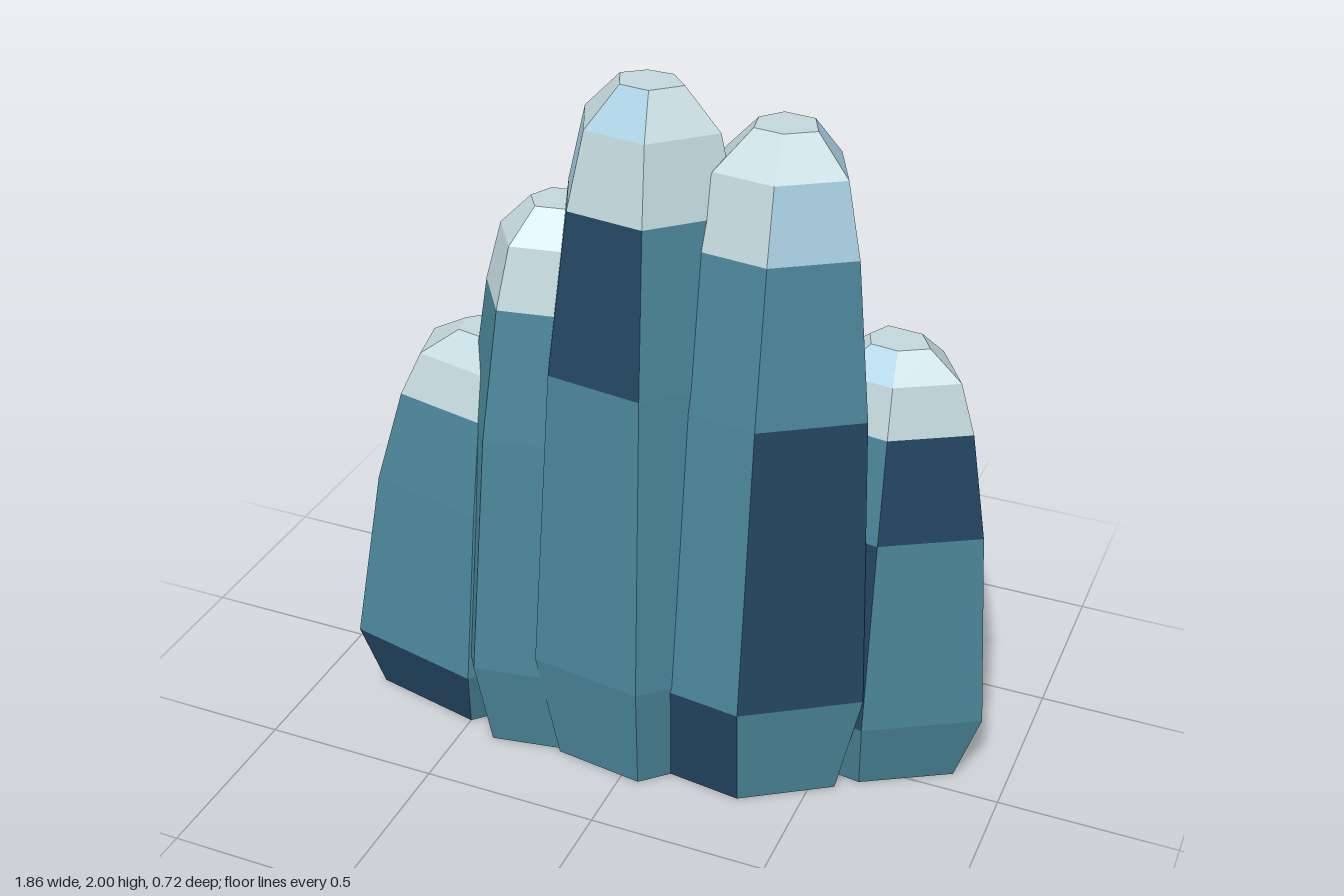
import * as THREE from 'three';

const mat = (name, color) => Object.assign(new THREE.MeshStandardMaterial({ color }), { name });

// Ring heights (fraction of the column) and ring scales, from base to tip
const HEIGHTS = [0, 0.17, 0.615, 0.842, 0.946, 1];
const SCALES = [0.8, 1, 0.84, 0.67, 0.53, 0.25];
const KEYS = 'tnsi'; // teal, navy, snow, ice

// Each side is [x, z, bands]: its corner on the widest ring, and the band
// colours from base to tip of the face running on to the next corner.
const PLAIN = 'tttss';
const COLUMNS = [
  {
    name: 'farLeftSideColumn', height: 1.17, centre: [-0.56, 0], lean: [0.07, -0.01],
    sides: [[-0.47, 0.30, 'nttss'], [-0.87, 0.21, 'nttss'], [-0.93, -0.06, PLAIN],
      [-0.72, -0.25, PLAIN], [-0.35, -0.235, PLAIN], [-0.22, 0.05, PLAIN]],
  },
  {
    name: 'innerColumn', height: 1.61, centre: [-0.29, 0.07], lean: [0.02, -0.04],
    sides: [[-0.43, 0.335, PLAIN], [-0.59, 0.1, 'ttnsi'], [-0.47, -0.15, PLAIN],
      [-0.22, -0.19, 'tntss'], [0, 0, PLAIN], [-0.1, 0.28, PLAIN]],
  },
  {
    name: 'tallestColumn', height: 2, centre: [0, 0.105], lean: [0.02, 0],
    sides: [[0.07, 0.355, 'ttnsi'], [-0.25, 0.31, 'tttis'], [-0.37, 0.03, PLAIN],
      [-0.15, -0.14, PLAIN], [0.13, -0.13, PLAIN], [0.34, 0.1, PLAIN]],
  },
  {
    name: 'secondTallestColumn', height: 1.905, centre: [0.31, 0.045], lean: [0.03, -0.04],
    sides: [[0.345, 0.31, 'nttss'], [0.03, 0.27, PLAIN], [-0.02, 0, PLAIN],
      [0.165, -0.22, PLAIN], [0.5, -0.18, 'ttnsi'], [0.635, 0.12, 'tntis']],
  },
  {
    name: 'outerColumn', height: 1.32, centre: [0.59, -0.12], lean: [0.03, 0.03],
    sides: [[0.635, 0.12, 'tntsi'], [0.34, 0.08, PLAIN], [0.26, -0.13, 'nttss'],
      [0.38, -0.365, PLAIN], [0.755, -0.325, PLAIN], [0.925, -0.05, 'ttnss']],
  },
];

// Loft a leaning faceted column, colouring each facet through geometry groups
function column({ name, height, centre, lean, sides }, materials) {
  const rings = HEIGHTS.map((h, k) => {
    const cx = centre[0] + lean[0] * (h - HEIGHTS[1]);
    const cz = centre[1] + lean[1] * (h - HEIGHTS[1]);
    return {
      centre: [cx, h * height, cz],
      points: sides.map(([x, z]) => [
        cx + (x - centre[0]) * SCALES[k], h * height, cz + (z - centre[1]) * SCALES[k],
      ]),
    };
  });
  const positions = [];
  const geometry = new THREE.BufferGeometry();
  const facet = (key, ...corners) => {
    geometry.addGroup(positions.length / 3, corners.length, KEYS.indexOf(key));
    corners.forEach((c) => positions.push(...c));
  };
  const base = rings[0];
  const tip = rings[rings.length - 1];
  sides.forEach(([, , bands], i) => {
    const j = (i + 1) % sides.length;
    [...bands].forEach((key, k) => {
      const low = rings[k].points;
      const high = rings[k + 1].points;
      facet(key, low[j], low[i], high[i], low[j], high[i], high[j]);
    });
    facet('s', tip.centre, tip.points[j], tip.points[i]);
    facet('t', base.centre, base.points[i], base.points[j]);
  });
  geometry.setAttribute('position', new THREE.Float32BufferAttribute(positions, 3));
  geometry.computeVertexNormals(); // unshared corners keep the facets flat
  const mesh = new THREE.Mesh(geometry, materials);
  mesh.name = name;
  return mesh;
}

export function createModel() {
  const materials = [
    mat('teal rock', 0x4a8598),
    mat('navy rock', 0x234560),
    mat('snow', 0xc2d8dc),
    mat('ice blue', 0xa6cde0),
  ];
  const group = new THREE.Group();
  group.name = 'rockColumns';
  COLUMNS.forEach((c) => group.add(column(c, materials)));
  return group;
}
